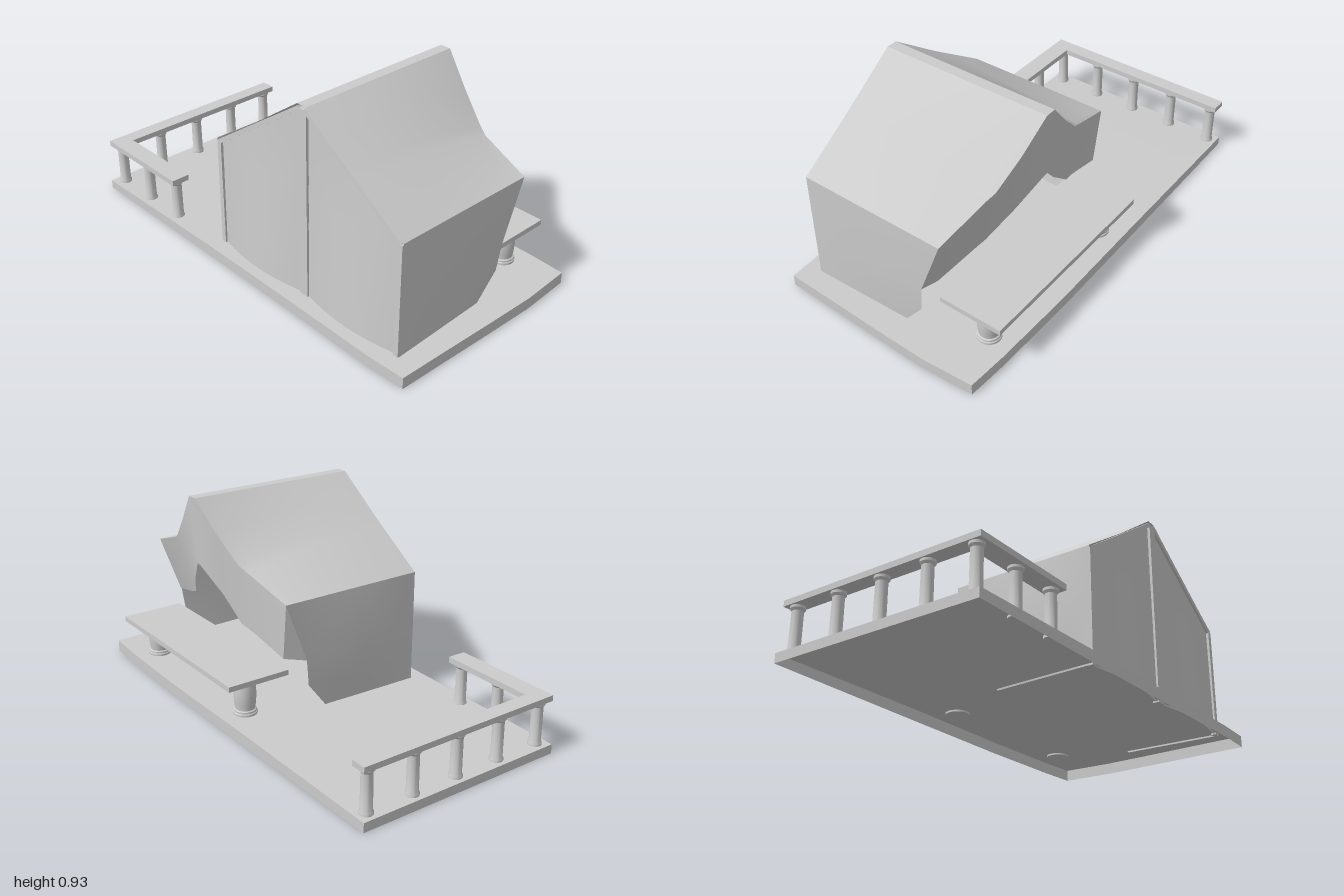
import * as THREE from 'three';
import { toCreasedNormals } from 'three/addons/utils/BufferGeometryUtils.js';

const solid = new THREE.MeshStandardMaterial({ color: 0xcccccc });
const thin = new THREE.MeshStandardMaterial({ color: 0xcccccc, side: THREE.DoubleSide });
const lerp = THREE.MathUtils.lerp;
const DECK = 0.053, SUNK = 0.045, BACK_X = -0.427, MID_Z = 0.345;

// Grid surface: fn(i, j) gives the point for column i, row j
function sheet(cols, rows, fn) {
  const pos = [], idx = [];
  for (let j = 0; j <= rows; j++) for (let i = 0; i <= cols; i++) pos.push(...fn(i, j));
  for (let j = 0; j < rows; j++) for (let i = 0; i < cols; i++) {
    const a = j * (cols + 1) + i, b = a + 1, c = a + cols + 1, d = c + 1;
    idx.push(a, b, d, a, d, c);
  }
  const g = new THREE.BufferGeometry();
  g.setAttribute('position', new THREE.Float32BufferAttribute(pos, 3));
  g.setIndex(idx);
  return toCreasedNormals(g, 0.6);
}

export function createModel() {
  const model = new THREE.Group();

  const add = (name, geo, mat = solid, parent = model) => {
    const m = new THREE.Mesh(geo, mat);
    m.name = name;
    parent.add(m);
    return m;
  };
  const group = name => {
    const g = new THREE.Group();
    g.name = name;
    model.add(g);
    return g;
  };
  // Box given by its minimum and maximum corners
  const box = (name, a, b, parent) => {
    const m = add(name, new THREE.BoxGeometry(b[0] - a[0], b[1] - a[1], b[2] - a[2]), solid, parent);
    m.position.set((a[0] + b[0]) / 2, (a[1] + b[1]) / 2, (a[2] + b[2]) / 2);
  };
  const turned = (name, pts, x, z, parent) => {
    const g = new THREE.LatheGeometry(pts.map(p => new THREE.Vector2(...p)), 24);
    add(name, toCreasedNormals(g, 0.6), solid, parent).position.set(x, 0, z);
  };

  // Deck: a hollow slab, open underneath, dipping slightly at the rear
  const deck = group('deck');
  const deckHeight = z => DECK - 0.011 * THREE.MathUtils.clamp((-0.2 - z) / 0.8, 0, 1);
  const stations = [[1, -0.5, 0.485], [0.8, -0.508, 0.495], [0.4, -0.503, 0.502],
    [-0.2, -0.5, 0.496], [-1, -0.5, 0.485]];
  const frontEdge = [0.982, 0.988, 0.995, 1, 0.985];
  const deckPoint = (i, j) => {
    const [z, x0, x1] = stations[j];
    const zz = j === 0 ? frontEdge[i] : z;
    return [lerp(x0, x1, i / 4), deckHeight(zz), zz];
  };
  add('deckTop', sheet(4, 4, deckPoint), thin, deck);
  const rim = [];
  for (let k = 0; k < 4; k++) rim[k] = deckPoint(k, 0);
  for (let k = 0; k < 4; k++) { rim[4 + k] = deckPoint(4, k); rim[8 + k] = deckPoint(4 - k, 4); rim[12 + k] = deckPoint(0, 4 - k); }
  add('deckRim', sheet(16, 1, (i, j) => {
    const [x, y, z] = rim[i % 16];
    return [x, j * y, z];
  }), thin, deck);

  // Tent cover: front half of the section, from ground to ridge
  const tent = group('tent');
  const backHalf = [[BACK_X, SUNK, 0.89], [BACK_X, 0.175, 0.89], [BACK_X, 0.3, 0.89], [BACK_X, 0.575, 0.89],
    [BACK_X, 0.73, 0.655], [BACK_X, 0.76, 0.61], [BACK_X, 0.845, 0.49], [BACK_X, 0.93, 0.37]];
  const openHalf = [[0.048, SUNK, 0.873], [0.15, 0.175, 0.882], [0.165, 0.3, 0.89], [0.27, 0.575, 0.89],
    [0.305, 0.655, 0.655], [0.322, 0.68, 0.61], [0.355, 0.795, 0.49], [0.385, 0.93, 0.37]];
  const flip = p => [p[0], p[1], 2 * MID_Z - p[2]];
  const whole = half => [...half, ...half.map(flip).reverse()];
  const backLine = whole(backHalf), openLine = whole(openHalf);
  const cols = 16, rows = backLine.length - 1;
  // the rear side wall bellies outward a little
  const belly = { [rows - 2]: 0.022, [rows - 1]: 0.014 };
  add('tentCover', sheet(cols, rows, (i, j) => {
    const u = i / cols, a = backLine[j], b = openLine[j];
    const out = (belly[j] ?? 0) * Math.sin(Math.PI * u);
    return [lerp(a[0], b[0], u), lerp(a[1], b[1], u * u), lerp(a[2], b[2], u) - out];
  }), thin, tent);

  // Flap hanging from the open edge of the cover
  const flapTop = openLine.slice(2, -2);
  const flapHem = [[0.165, 0.3, 0.89], [0.2, 0.32, 0.83], [0.235, 0.37, 0.64], [0.25, 0.39, 0.59],
    [0.315, 0.51, 0.47], [0.365, 0.62, 0.355], [0.365, 0.62, 0.335], [0.315, 0.5, 0.22],
    [0.3, 0.4, 0.1], [0.28, 0.375, 0.03], [0.262, 0.32, -0.165], [0.165, 0.3, -0.2]];
  add('frontFlap', sheet(flapTop.length - 1, 4, (i, j) =>
    flapTop[i].map((v, n) => lerp(v, flapHem[i][n], j / 4))), thin, tent);

  // Gable wall: two panels billowing outward towards the ground
  for (const side of [1, -1]) {
    add('gablePanel', sheet(12, 6, (i, j) => {
      const s = i / 12;
      const y = lerp(SUNK, lerp(0.57, 0.92, s), j / 6);
      const swell = Math.sin(Math.PI * s) * Math.max(0, 1 - y / 0.7);
      return [-0.417 - 0.036 * swell, y, MID_Z + side * 0.54 * (1 - s)];
    }), thin, tent);

    // Corner pole and sloping rafter
    const zc = MID_Z + side * 0.53;
    box('cornerPole', [-0.43, SUNK, zc - 0.012], [-0.405, 0.565, zc + 0.012], tent);
    const from = new THREE.Vector2(0.53, 0.563), to = new THREE.Vector2(0.015, 0.915);
    const rafter = add('rafter', new THREE.BoxGeometry(0.025, 0.02, from.distanceTo(to)), solid, tent);
    rafter.position.set(-0.4175, (from.y + to.y) / 2, MID_Z + side * (from.x + to.x) / 2);
    rafter.rotation.x = side * Math.atan2(to.y - from.y, from.x - to.x);
  }
  box('centrePole', [-0.43, SUNK, 0.325], [-0.4, 0.915, 0.372], tent);

  // Low table in front of the tent
  const table = group('table');
  box('tableTop', [0.21, 0.216, -0.125], [0.509, 0.24, 0.835], table);
  const legProfile = [[0, SUNK], [0.054, SUNK], [0.054, 0.062], [0.05, 0.066], [0.05, 0.073], [0.044, 0.077],
    [0.047, 0.1], [0.05, 0.14], [0.048, 0.18], [0.043, 0.217]];
  for (const z of [0.742, -0.04]) turned('tableLeg', legProfile, 0.38, z, table);

  // Corner railing, rail as one L-shaped piece
  const railing = group('railing');
  const railShape = new THREE.Shape([[-0.492, 0.99], [-0.492, 0.47], [-0.405, 0.47], [-0.405, 0.92], [0.48, 0.92], [0.48, 0.99]]
    .map(p => new THREE.Vector2(...p)));
  const rail = new THREE.ExtrudeGeometry(railShape, { depth: 0.026, bevelEnabled: false });
  rail.rotateX(-Math.PI / 2);
  add('rail', rail, solid, railing).position.y = 0.239;
  const postProfile = [[0, 0.036], [0.029, 0.036], [0.029, 0.052], [0.025, 0.06], [0.024, 0.218], [0.031, 0.228], [0.031, 0.24]];
  for (let k = 0; k < 5; k++) turned('post', postProfile, -0.447 + k * 0.221, -0.953, railing);
  for (const z of [-0.73, -0.51]) turned('post', postProfile, -0.447, z, railing);

  return model;
}
